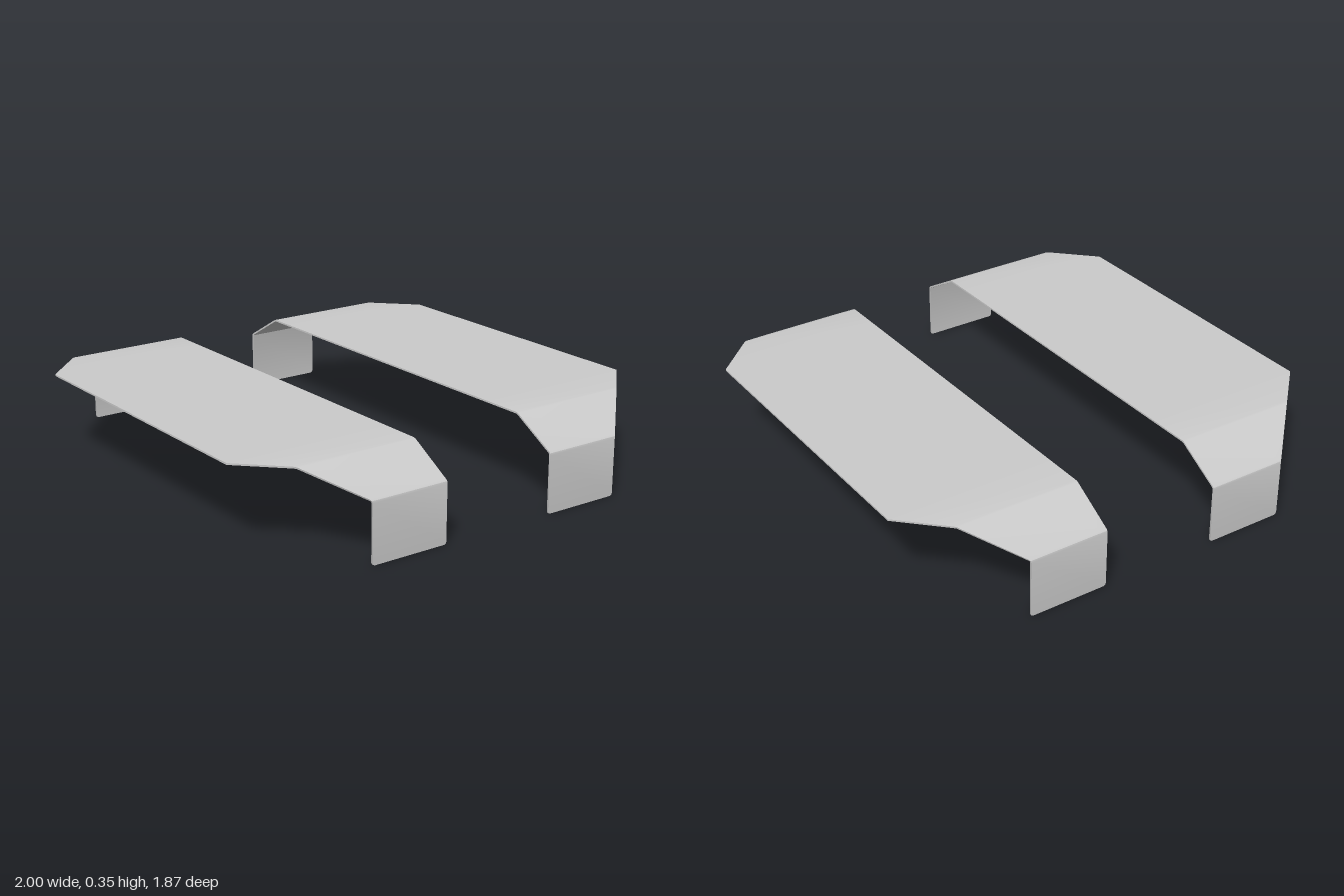
import * as THREE from 'three';
import { toCreasedNormals } from 'three/addons/utils/BufferGeometryUtils.js';

const THICKNESS = 0.007;
const INNER_Z = 0.245;
const OUTER_Z = 0.935;

// Bent sheet: a folded strip whose outer corners are cut at 45 degrees
function bentSheet() {
  // Half profile from the foot to the flat top: x, y, rounding of the foot corners
  const half = [
    [1, 0, 0.01], [1, 0.003, 0.003], [1, 0.01, 0],
    [1, 0.232, 0], [0.998, 0.24, 0], [0.992, 0.246, 0],
    [0.815, 0.348, 0], [0.806, 0.35, 0], [0.64, 0.35, 0],
  ];
  const path = [...half, ...half.slice().reverse().map(([x, y, r]) => [-x, y, r])];

  // Four-cornered cross-section at each station, mitred at the folds
  const normalAt = (i) => {
    const [p, q] = [path[i], path[i + 1]];
    return new THREE.Vector2(q[1] - p[1], p[0] - q[0]).normalize();
  };
  const sections = path.map(([x, y, r], i) => {
    const n0 = normalAt(Math.max(i - 1, 0));
    const n1 = normalAt(Math.min(i, path.length - 2));
    const n = n0.clone().add(n1).normalize();
    const d = THICKNESS / n.dot(n0);
    const z0 = INNER_Z + r;
    const z1 = Math.min(OUTER_Z, 0.575 + 1 - Math.abs(x)) - r;
    const ix = x - n.x * d, iy = y - n.y * d;
    return [[x, y, z0], [x, y, z1], [ix, iy, z1], [ix, iy, z0]];
  });

  const positions = [];
  const quad = (a, b, c, d) => positions.push(...a, ...b, ...c, ...a, ...c, ...d);
  for (let i = 0; i < sections.length - 1; i++) {
    const [s, t] = [sections[i], sections[i + 1]];
    for (let k = 0; k < 4; k++) {
      const m = (k + 1) % 4;
      quad(s[k], t[k], t[m], s[m]);
    }
  }
  // Foot ends
  quad(...sections[0]);
  quad(...sections[sections.length - 1].slice().reverse());

  const geometry = new THREE.BufferGeometry();
  geometry.setAttribute('position', new THREE.Float32BufferAttribute(positions, 3));
  return toCreasedNormals(geometry, 0.45);
}

export function createModel() {
  const group = new THREE.Group();
  group.name = 'bentSheetPair';
  const material = new THREE.MeshStandardMaterial({ color: 0xcccccc });
  const geometry = bentSheet();

  // Two identical sheets facing away from each other
  [['frontSheet', 0], ['backSheet', Math.PI]].forEach(([name, angle]) => {
    const sheet = new THREE.Mesh(geometry, material);
    sheet.name = name;
    sheet.rotation.y = angle;
    group.add(sheet);
  });
  return group;
}
